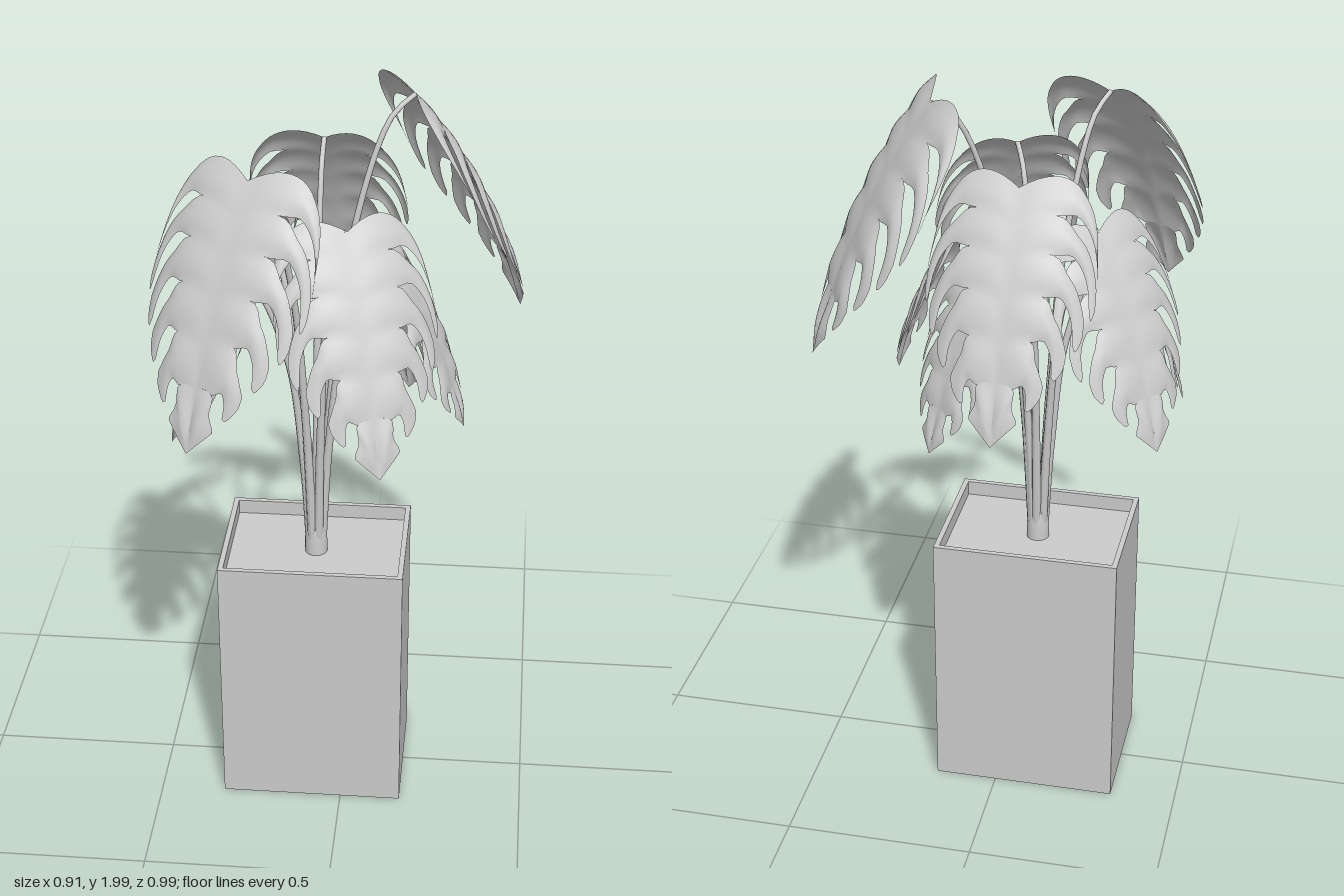
import * as THREE from 'three';
import { mergeVertices } from 'three/addons/utils/BufferGeometryUtils.js';

const V = (x, y, z) => new THREE.Vector3(x, y, z);
const { lerp, smoothstep } = THREE.MathUtils;
const CENTRE = V(-0.08, 0, 0);
const FINGERS = 6;

// each leaf: where the stalk meets the blade, then the tip of the blade
const LEAVES = [
  [V(-0.075, 1.80, -0.23), V(-0.06, 1.24, -0.49)],
  [V(0.16, 1.96, -0.14), V(0.44, 1.33, -0.27)],
  [V(0.12, 1.59, 0.03), V(0.31, 1.14, 0.06)],
  [V(0.02, 1.74, 0.20), V(0.12, 1.20, 0.44)],
  [V(-0.21, 1.88, 0.24), V(-0.34, 1.28, 0.49)],
  [V(-0.26, 1.53, 0.07), V(-0.44, 1.09, 0.12)],
  [V(-0.25, 1.66, -0.12), V(-0.43, 1.15, -0.27)],
  [V(0.03, 1.52, -0.12), V(0.15, 1.07, -0.26)],
];

// ends of the side veins on half a flat blade of length 1
const RIM = new THREE.CatmullRomCurve3(
  [[0.33, 0.32], [0.34, 0.47], [0.30, 0.62], [0.23, 0.75], [0.13, 0.88], [0, 1]].map(([u, v]) => V(u, v, 0)));

// point on the vein that leaves the midrib at s, at fraction t of its length
function veinPoint(s, t) {
  const root = V(0, s * 0.95, 0);
  const end = RIM.getPoint(s);
  const bend = V(end.x * 0.92, lerp(root.y, end.y, 0.15) - 0.27 * (1 - s), 0);
  return new THREE.QuadraticBezierCurve3(root, bend, end).getPoint(t);
}

// split blade: fingers joined near the midrib, parted by slots further out
function bladeGeometry(base, tip) {
  const length = base.distanceTo(tip);
  const out = V(tip.x - base.x, 0, tip.z - base.z).normalize();
  const side = V(0, 1, 0).cross(out);
  const bulge = base.clone().lerp(tip, 0.4)
    .addScaledVector(out, 0.09 * length).addScaledVector(V(0, 1, 0), 0.05 * length);
  const midrib = new THREE.QuadraticBezierCurve3(base, bulge, tip);
  const positions = [], index = [];
  const across = 6, along = 16;

  for (const mirror of [1, -1]) {
    for (let k = 0; k < FINGERS; k++) {
      const start = positions.length / 3;
      for (let i = 0; i <= across; i++) {
        for (let j = 0; j <= along; j++) {
          const f = i / across;
          const last = k === FINGERS - 1;
          const t = (j / along) * (last ? 1 : 1 - 0.07 * (2 * f - 1) ** 4);
          const web = lerp(0.3, 0.5, k / FINGERS);
          const gap = 0.23 * smoothstep(t, web, web + 0.2) * (1 - 0.4 * smoothstep(t, 0.75, 1));
          const lo = k === 0 ? 0 : gap;
          const hi = last ? 1 : 1 - gap;
          const p = veinPoint((k + lerp(lo, hi, f)) / FINGERS, t);
          // lay the flat point on the arched midrib, drooping to the sides
          const v = Math.min(Math.max(p.y, 0), 1);
          const tangent = midrib.getTangent(v);
          const normal = tangent.clone().cross(side);
          const lift = -1.0 * p.x * p.x + 0.012 * Math.sin(Math.PI * f) * Math.sin(Math.PI * t) + 0.06 * p.x;
          const q = midrib.getPoint(v)
            .addScaledVector(tangent, (p.y - v) * length)
            .addScaledVector(side, p.x * mirror * length)
            .addScaledVector(normal, lift * length);
          positions.push(q.x, q.y, q.z);
        }
      }
      for (let i = 0; i < across; i++) {
        for (let j = 0; j < along; j++) {
          const a = start + i * (along + 1) + j, b = a + along + 1;
          if (mirror > 0) index.push(a, b, a + 1, b, b + 1, a + 1);
          else index.push(a, a + 1, b, b, a + 1, b + 1);
        }
      }
    }
  }
  let geometry = new THREE.BufferGeometry();
  geometry.setAttribute('position', new THREE.Float32BufferAttribute(positions, 3));
  geometry.setIndex(index);
  geometry = mergeVertices(geometry, 1e-5);
  geometry.computeVertexNormals();
  return geometry;
}

// stalk: rises from the clump, spreads, arches over to the blade, and tapers
function stalkGeometry(base) {
  const out = V(base.x - CENTRE.x, 0, base.z);
  const reach = out.length();
  out.normalize();
  const at = (r, h) => CENTRE.clone().addScaledVector(out, r).setY(lerp(0.7, base.y, h));
  const path = new THREE.CatmullRomCurve3(
    [at(0.014, 0), at(0.12 * reach + 0.01, 0.35), at(0.36 * reach, 0.7), at(0.76 * reach, 0.96), base]);
  const rings = 32, sides = 8;
  const geometry = new THREE.TubeGeometry(path, rings, 0.013, sides);
  const pos = geometry.attributes.position, p = V(0, 0, 0);
  for (let i = 0; i < pos.count; i++) {
    const f = Math.floor(i / (sides + 1)) / rings;
    const c = path.getPointAt(f);
    p.fromBufferAttribute(pos, i).sub(c).multiplyScalar(lerp(1, 0.5, f)).add(c);
    pos.setXYZ(i, p.x, p.y, p.z);
  }
  return geometry;
}

function rectangle(Type, w, d) {
  const r = new Type();
  r.moveTo(-w / 2, -d / 2);
  r.lineTo(w / 2, -d / 2);
  r.lineTo(w / 2, d / 2);
  r.lineTo(-w / 2, d / 2);
  r.closePath();
  return r;
}

export function createModel() {
  const model = new THREE.Group();
  const grey = new THREE.MeshStandardMaterial({ color: 0xcccccc });
  const leafGrey = new THREE.MeshStandardMaterial({ color: 0xcccccc, side: THREE.DoubleSide });
  const add = (parent, name, geometry, material = grey) => {
    const mesh = new THREE.Mesh(geometry, material);
    mesh.name = name;
    parent.add(mesh);
    return mesh;
  };

  // tall planter with an open rim and soil set just below it
  const walls = rectangle(THREE.Shape, 0.49, 0.365);
  walls.holes.push(rectangle(THREE.Path, 0.462, 0.337));
  const planter = add(model, 'planterWalls',
    new THREE.ExtrudeGeometry(walls, { depth: 0.74, bevelEnabled: false }).rotateX(-Math.PI / 2));
  planter.position.copy(CENTRE);
  const soil = add(model, 'soil', new THREE.BoxGeometry(0.462, 0.7, 0.337));
  soil.position.set(CENTRE.x, 0.35, 0);

  // short sheath that holds the stalks together
  const sheath = add(model, 'stalkSheath', new THREE.LatheGeometry(
    [[0.03, 0.7], [0.03, 0.74], [0.026, 0.785], [0.018, 0.8], [0, 0.8]].map(([r, y]) => new THREE.Vector2(r, y)), 20));
  sheath.position.copy(CENTRE);

  // leaves
  for (const [base, tip] of LEAVES) {
    const leaf = new THREE.Group();
    leaf.name = 'leaf';
    add(leaf, 'stalk', stalkGeometry(base));
    add(leaf, 'blade', bladeGeometry(base, tip), leafGrey);
    model.add(leaf);
  }
  return model;
}
